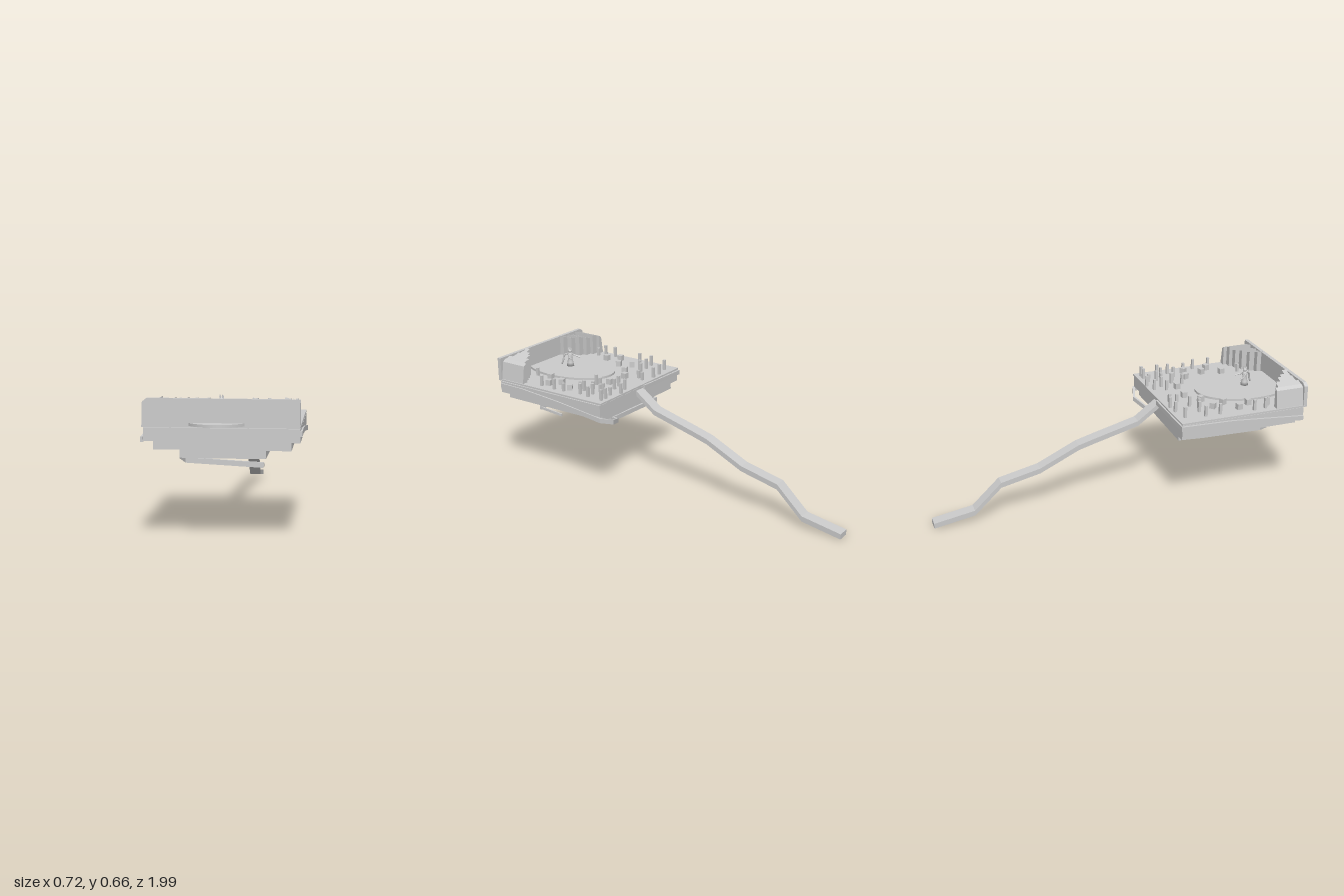
import * as THREE from 'three';

const mat = new THREE.MeshStandardMaterial({ color: 0xcccccc, flatShading: true, side: THREE.DoubleSide });
const smooth = new THREE.MeshStandardMaterial({ color: 0xcccccc });

function add(parent, name, geo, x = 0, y = 0, z = 0, material = mat) {
  const m = new THREE.Mesh(geo, material);
  m.name = name;
  m.position.set(x, y, z);
  parent.add(m);
  return m;
}

// Box given by its min and max corners
function block(parent, name, x0, x1, y0, y1, z0, z1) {
  return add(parent, name, new THREE.BoxGeometry(x1 - x0, y1 - y0, z1 - z0),
    (x0 + x1) / 2, (y0 + y1) / 2, (z0 + z1) / 2);
}

// Mitred rectangular strip along a path, kept upright
function strip(points, width, height) {
  const p = points.map(a => new THREE.Vector3(...a));
  const up = new THREE.Vector3(0, 1, 0);
  const dir = (a, b) => b.clone().sub(a).setY(0).normalize();
  const pos = [], idx = [];
  p.forEach((c, i) => {
    const d0 = i > 0 ? dir(p[i - 1], c) : dir(c, p[i + 1]);
    const d1 = i < p.length - 1 ? dir(c, p[i + 1]) : d0;
    const t = d0.clone().add(d1).normalize();
    const s = t.clone().cross(up).multiplyScalar(width / 2 / Math.max(0.5, t.dot(d0)));
    for (const [a, b] of [[1, 1], [-1, 1], [-1, -1], [1, -1]])
      pos.push(c.x + a * s.x, c.y + b * height / 2, c.z + a * s.z);
    if (i < p.length - 1) {
      for (let k = 0; k < 4; k++) {
        const a = i * 4 + k, b = i * 4 + (k + 1) % 4;
        idx.push(a, a + 4, b + 4, a, b + 4, b);
      }
    }
  });
  const e = (p.length - 1) * 4;
  idx.push(0, 1, 2, 0, 2, 3, e, e + 2, e + 1, e, e + 3, e + 2);
  const g = new THREE.BufferGeometry();
  g.setAttribute('position', new THREE.Float32BufferAttribute(pos, 3));
  g.setIndex(idx);
  g.computeVertexNormals();
  return g;
}

// Robed figure with crown, raised arms and trailing cloth
function figure() {
  const f = new THREE.Group();
  f.name = 'figure';
  const robe = [[0, 0], [0.021, 0], [0.017, 0.02], [0.011, 0.045], [0.015, 0.066], [0.006, 0.076], [0, 0.077]];
  add(f, 'robe', new THREE.LatheGeometry(robe.map(a => new THREE.Vector2(...a)), 12), 0, 0, 0, smooth);
  add(f, 'head', new THREE.SphereGeometry(0.011, 12, 8), 0, 0.086, 0, smooth);
  for (let i = 0; i < 6; i++) {
    const a = i * Math.PI / 3;
    add(f, 'crownPoint', new THREE.ConeGeometry(0.003, 0.016, 5), Math.cos(a) * 0.009, 0.101, Math.sin(a) * 0.009);
  }
  const limb = (name, pts, r) => add(f, name, new THREE.TubeGeometry(
    new THREE.CatmullRomCurve3(pts.map(a => new THREE.Vector3(...a))), 10, r, 6), 0, 0, 0, smooth);
  limb('leftArm', [[0.012, 0.066, 0], [0.024, 0.055, -0.015], [0.032, 0.05, -0.04]], 0.004);
  limb('rightArm', [[-0.012, 0.066, 0], [-0.026, 0.055, -0.018], [-0.036, 0.045, -0.045]], 0.004);
  limb('trailingCloth', [[0.005, 0.07, 0.012], [0.013, 0.06, 0.03], [0.018, 0.03, 0.036], [0.02, 0.008, 0.046]], 0.005);
  return f;
}

export function createModel() {
  const model = new THREE.Group();

  // Stepped platform, widest at the top
  block(model, 'floor', -0.35, 0.35, 0.533, 0.542, 0.22, 0.92);
  block(model, 'floorCore', -0.3, 0.3, 0.525, 0.535, 0.28, 0.88);
  block(model, 'upperTier', -0.345, 0.35, 0.468, 0.529, 0.225, 0.905);
  block(model, 'middleTier', -0.305, 0.31, 0.429, 0.468, 0.24, 0.885);
  block(model, 'lowerTier', -0.19, 0.197, 0.391, 0.429, 0.275, 0.86);
  block(model, 'basePanel', -0.185, 0.192, 0.383, 0.391, 0.28, 0.825);

  // Front wall, with one sloped end
  const wall = new THREE.Shape([[-0.348, 0.54], [0.35, 0.54], [0.35, 0.659], [-0.325, 0.661], [-0.345, 0.645]]
    .map(a => new THREE.Vector2(...a)));
  add(model, 'frontWall', new THREE.ExtrudeGeometry(wall, { depth: 0.02, bevelEnabled: false }), 0, 0, 0.9);

  // Stepped corner slabs, shorter toward the middle
  const starts = [0.75, 0.77, 0.79, 0.815, 0.845, 0.875];
  for (const s of [-1, 1]) {
    starts.forEach((z0, i) => {
      const outer = 0.345 - i * 0.034, inner = outer - 0.034;
      const top = 0.648 + (i % 2) * 0.008 + (i > 3 ? 0.007 : 0);
      const shape = new THREE.Shape([[outer, 0.54], [inner, 0.54], [inner, top], [outer - (i ? 0 : 0.015), top - 0.012]]
        .map(([x, y]) => new THREE.Vector2(s * x, y)));
      add(model, 'cornerSlab', new THREE.ExtrudeGeometry(shape, { depth: 0.91 - z0, bevelEnabled: false }), 0, 0, z0);
    });
  }

  // Oval stage reaching past the front wall
  const stage = add(model, 'ovalStage', new THREE.CylinderGeometry(1, 1, 0.013, 48), -0.017, 0.547, 0.717,
    new THREE.MeshStandardMaterial({ color: 0xcccccc }));
  stage.scale.set(0.182, 1, 0.276);
  const hero = figure();
  hero.position.set(-0.017, 0.553, 0.722);
  model.add(hero);

  // Low blocks on the floor: x, z, turn
  [[-0.04, 0.36, 0], [0.08, 0.37, 0.1], [-0.12, 0.42, 0.3], [-0.22, 0.445, 0.7], [-0.19, 0.515, 0.4],
    [-0.275, 0.567, 0.1], [-0.238, 0.636, 0], [0.195, 0.467, 0.3], [0.27, 0.487, 0.6], [0.228, 0.577, 0.3],
    [0.275, 0.626, 0.2], [0.195, 0.683, 0.1]].forEach(([x, z, r]) => {
    add(model, 'lowBlock', new THREE.BoxGeometry(0.028, 0.032, 0.028), x, 0.557, z).rotation.y = r;
  });

  // Slim posts on the floor: x, z
  [[-0.28, 0.265], [-0.2, 0.245], [-0.14, 0.24], [-0.07, 0.265], [-0.24, 0.36], [-0.3, 0.37], [-0.16, 0.34],
    [-0.085, 0.3], [-0.3, 0.45], [-0.2, 0.375], [-0.31, 0.7], [-0.28, 0.73], [-0.315, 0.635], [0.105, 0.25],
    [0.165, 0.23], [0.217, 0.26], [0.27, 0.25], [0.305, 0.25], [0.13, 0.3], [0.21, 0.33], [0.255, 0.345],
    [0.3, 0.34], [0.16, 0.37], [0.195, 0.39], [0.217, 0.305], [0.29, 0.4], [0.31, 0.56], [0.305, 0.5],
    [0.24, 0.415], [0.13, 0.42], [0.08, 0.31], [0.19, 0.78], [0.305, 0.65]].forEach(([x, z], i) => {
    const h = i % 4 === 3 ? 0.045 : 0.058;
    add(model, 'slimPost', new THREE.BoxGeometry(0.014, h, 0.014), x, 0.541 + h / 2, z);
  });

  // Long bent ramp at the back
  const ramp = [[0.245, 0.52], [0.11, 0.42], [-0.13, 0.357], [-0.22, 0.332], [-0.43, 0.233],
    [-0.64, 0.186], [-0.785, 0.05], [-1, 0.014]].map(([z, y]) => [0.007, y, z]);
  add(model, 'ramp', strip(ramp, 0.064, 0.028));

  // Narrow path winding down around the tiers
  add(model, 'rightPath', strip([[-0.02, 0.525, 0.215], [-0.352, 0.515, 0.222], [-0.353, 0.508, 0.5],
    [-0.353, 0.475, 0.9]], 0.012, 0.024));
  add(model, 'leftPath', strip([[0.352, 0.508, 0.9], [0.352, 0.506, 0.75], [0.352, 0.485, 0.5],
    [0.352, 0.452, 0.225], [0.28, 0.425, 0.2], [0.197, 0.4, 0.235], [0.19, 0.398, 0.27],
    [-0.2, 0.39, 0.27], [-0.205, 0.385, 0.4], [-0.205, 0.378, 0.73], [-0.17, 0.368, 0.785],
    [0.178, 0.35, 0.785]], 0.012, 0.024));
  add(model, 'pathEnd', strip([[0.178, 0.35, 0.785], [0.175, 0.342, 0.71], [0.168, 0.332, 0.64]], 0.008, 0.014));

  return model;
}
